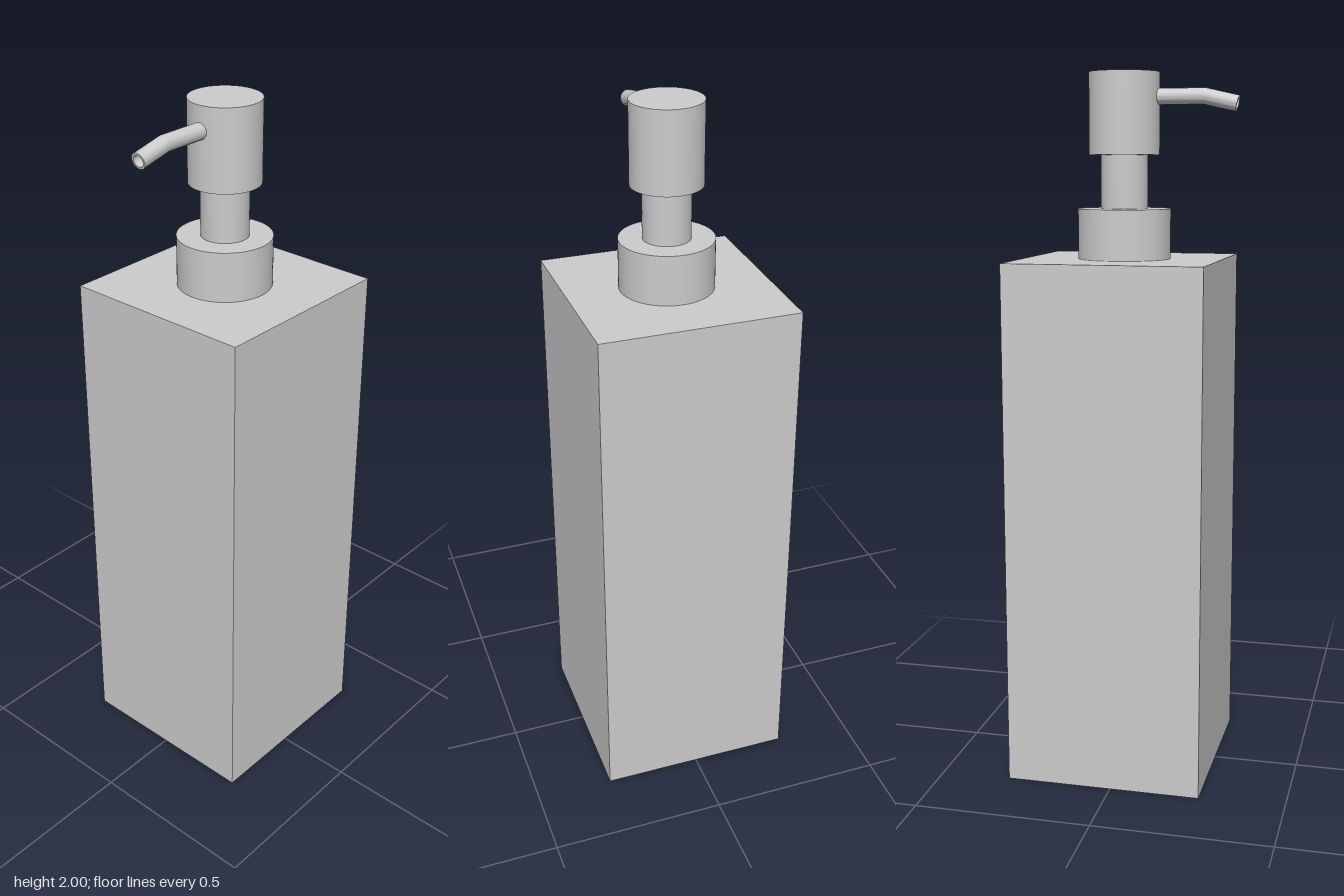
import * as THREE from 'three';
import { toCreasedNormals } from 'three/addons/utils/BufferGeometryUtils.js';

const AXIS_Z = -0.022; // the pump and bottle share this vertical axis

export function createModel() {
  const model = new THREE.Group();
  model.name = 'soapDispenser';
  const material = new THREE.MeshStandardMaterial({ color: 0xcccccc });

  const add = (name, geometry, y = 0, z = 0) => {
    const mesh = new THREE.Mesh(geometry, material);
    mesh.name = name;
    mesh.position.set(0, y, z);
    model.add(mesh);
  };
  const addCylinder = (name, radius, bottom, top) =>
    add(name, new THREE.CylinderGeometry(radius, radius, top - bottom, 64), (bottom + top) / 2, AXIS_Z);

  // Square bottle
  add('bottle', new THREE.BoxGeometry(0.557, 1.487, 0.557), 1.487 / 2, AXIS_Z);

  // Pump: screw collar, stem and press head
  addCylinder('collar', 0.131, 1.487, 1.627);
  addCylinder('stem', 0.066, 1.627, 1.775);
  addCylinder('pumpHead', 0.099, 1.775, 2);

  add('spout', spoutGeometry(), 1.933);

  return model;
}

// Hollow tube with a mitred bend; the rows of a lathe are moved onto the bent path
function spoutGeometry() {
  const outer = 0.0225, inner = 0.016, bend = 0.235; // bend angle in radians
  const stations = [
    { z: 0.03, y: 0, tilt: 0 },
    { z: 0.205, y: 0, tilt: bend / 2 },
    { z: 0.297, y: -0.021, tilt: bend },
  ];
  const profile = [[outer, 0], [outer, 1], [outer, 2], [inner, 2], [inner, 1], [inner, 0], [outer, 0]]
    .map(([r, row]) => new THREE.Vector2(r, row));
  const geometry = new THREE.LatheGeometry(profile, 32);
  const position = geometry.attributes.position;
  for (let i = 0; i < position.count; i++) {
    const station = stations[Math.round(position.getY(i))];
    const up = -position.getZ(i);
    position.setXYZ(
      i,
      position.getX(i),
      station.y + up * Math.cos(station.tilt),
      station.z + up * Math.sin(station.tilt)
    );
  }
  return toCreasedNormals(geometry, 0.22);
}
